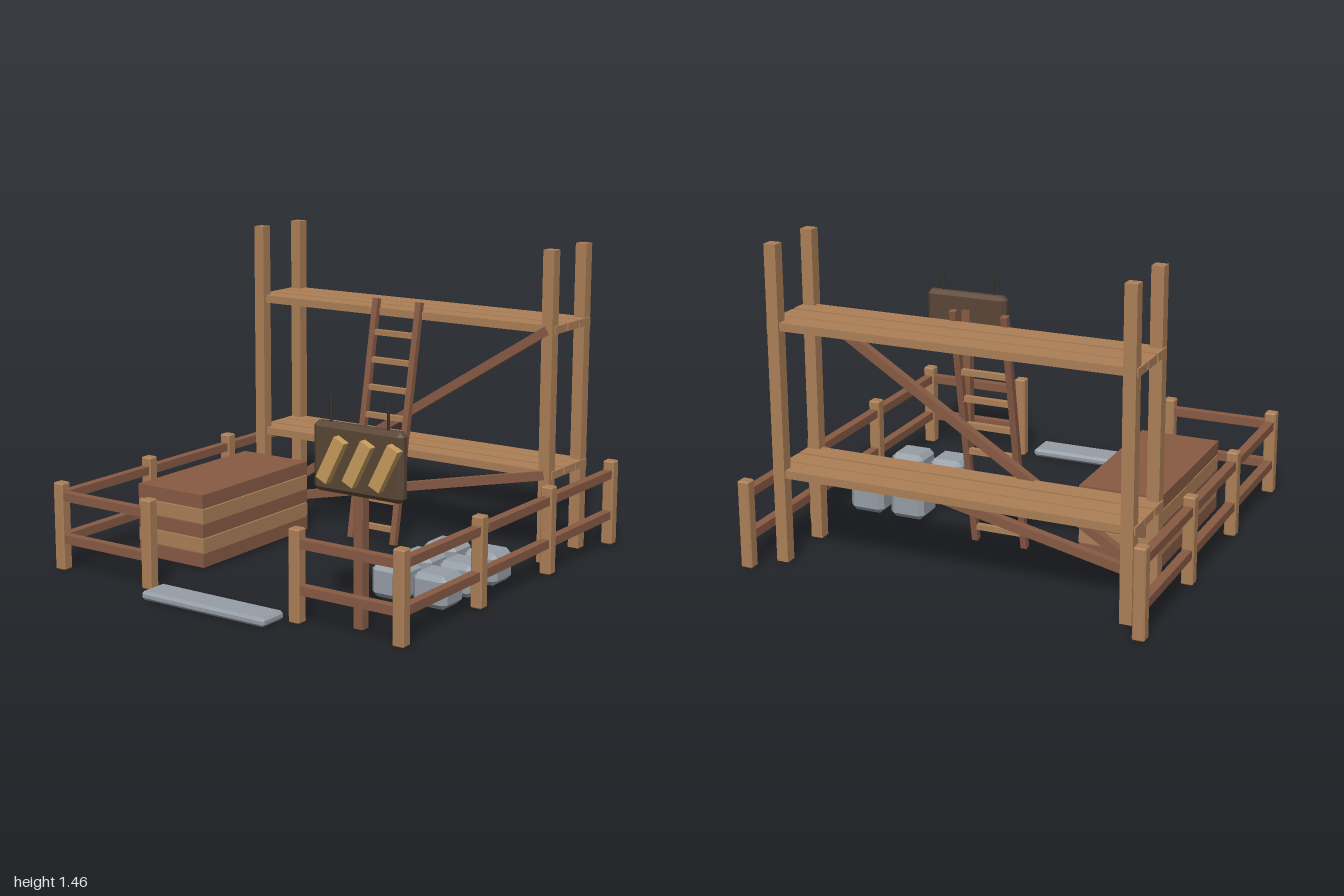
import * as THREE from 'three';
import { ConvexGeometry } from 'three/addons/geometries/ConvexGeometry.js';

const paint = (name, color) => {
  const m = new THREE.MeshStandardMaterial({ color });
  m.name = name;
  return m;
};

// Box with every edge cut at 45 degrees
function chamferBox(w, h, d, c) {
  const pts = [];
  for (const x of [-1, 1]) for (const y of [-1, 1]) for (const z of [-1, 1]) {
    const X = w / 2, Y = h / 2, Z = d / 2;
    pts.push(
      new THREE.Vector3(x * X, y * (Y - c), z * (Z - c)),
      new THREE.Vector3(x * (X - c), y * Y, z * (Z - c)),
      new THREE.Vector3(x * (X - c), y * (Y - c), z * Z));
  }
  return new ConvexGeometry(pts);
}

export function createModel() {
  const model = new THREE.Group();
  model.name = 'buildingSite';
  const tan = paint('light wood', 0xac7f57);
  const red = paint('red brown wood', 0x875a44);
  const stone = paint('grey stone', 0x959da5);
  const dark = paint('dark board', 0x594535);
  const yellow = paint('mustard stripe', 0xc69c5c);
  const iron = paint('dark iron', 0x3a342f);

  const group = (name) => {
    const g = new THREE.Group();
    g.name = name;
    model.add(g);
    return g;
  };
  const add = (parent, name, geo, mat, x, y, z) => {
    const m = new THREE.Mesh(geo, mat);
    m.name = name;
    m.position.set(x, y, z);
    parent.add(m);
    return m;
  };
  const box = (parent, name, mat, w, h, d, x, y, z) =>
    add(parent, name, new THREE.BoxGeometry(w, h, d), mat, x, y, z);
  // Square beam between two points
  const beam = (parent, name, mat, a, b, w, d) => {
    const from = new THREE.Vector3(...a), to = new THREE.Vector3(...b);
    const mid = from.clone().add(to).multiplyScalar(0.5);
    const m = box(parent, name, mat, w, from.distanceTo(to), d, mid.x, mid.y, mid.z);
    m.quaternion.setFromUnitVectors(new THREE.Vector3(0, 1, 0), to.sub(from).normalize());
    return m;
  };

  // Fence: posts and two rails, open at the back and at the front gate
  const fence = group('fence');
  const postGeo = chamferBox(0.056, 0.41, 0.056, 0.006);
  for (const s of [-1, 1]) {
    for (const z of [-0.97, -0.363, 0.243, 0.85]) add(fence, 'fencePost', postGeo, tan, s * 0.925, 0.208, z);
    add(fence, 'gatePost', postGeo, tan, s * 0.405, 0.208, 0.85);
    for (const y of [0.15, 0.35]) {
      box(fence, 'sideRail', red, 0.042, 0.04, 1.82, s * 0.925, y, -0.06);
      box(fence, 'frontRail', red, 0.52, 0.04, 0.042, s * 0.665, y, 0.85);
    }
  }

  // Scaffold: four uprights, two plank decks, two braces
  const scaffold = group('scaffold');
  for (const x of [-0.82, 0.82]) for (const z of [-0.835, -0.527])
    box(scaffold, 'upright', tan, 0.056, 1.46, 0.056, x, 0.73, z);
  for (const y of [0.417, 1.095]) for (const z of [-0.802, -0.69, -0.571])
    box(scaffold, 'plank', tan, 1.71, 0.037, 0.104, 0, y, z);
  beam(scaffold, 'brace', red, [-0.82, 0.06, -0.516], [0.82, 1.095, -0.516], 0.042, 0.04);
  beam(scaffold, 'brace', red, [-0.82, 0.06, -0.516], [0.82, 0.417, -0.516], 0.042, 0.04);

  // Leaning ladder
  const ladder = group('ladder');
  for (const x of [-0.122, 0.122])
    beam(ladder, 'ladderRail', red, [x, 0.015, -0.308], [x, 1.158, -0.52], 0.03, 0.03);
  for (let i = 0; i < 8; i++) {
    const y = 0.085 + i * 0.1306;
    box(ladder, 'rung', tan, 0.23, 0.026, 0.026, 0, y, -0.308 - (y - 0.015) * 0.1855);
  }

  // Lumber stack of alternating layers
  const stack = group('lumberStack');
  for (let i = 0; i < 5; i++)
    box(stack, 'lumberLayer', i % 2 ? tan : red, 0.385, 0.065, 0.806, -0.577, 0.045 + i * 0.0695, 0.098);

  // Stone blocks and entrance step
  const blocks = group('stoneBlocks');
  const blockGeo = chamferBox(0.174, 0.15, 0.166, 0.024);
  for (const x of [0.542, 0.755]) for (const z of [-0.117, 0.094, 0.303])
    add(blocks, 'stoneBlock', blockGeo, stone, x, 0.077, z);
  add(model, 'entranceStep', chamferBox(0.67, 0.04, 0.15, 0.012), stone, 0, 0.02, 0.92);

  // Striped sign on a post with two hanging rods
  const sign = group('sign');
  box(sign, 'signPost', red, 0.045, 0.78, 0.046, 0.662, 0.39, 0.752);
  add(sign, 'signBoard', chamferBox(0.44, 0.295, 0.064, 0.02), dark, 0.665, 0.717, 0.766);
  for (const x of [0.523, 0.805])
    add(sign, 'hangingRod', new THREE.CylinderGeometry(0.006, 0.006, 0.14, 6), iron, x, 0.9, 0.77);
  for (const x of [0.56, 0.69, 0.82]) {
    const stripe = box(sign, 'warningStripe', yellow, 0.056, 0.2, 0.04, x, 0.717, 0.814);
    stripe.rotation.z = -0.47;
  }
  return model;
}
